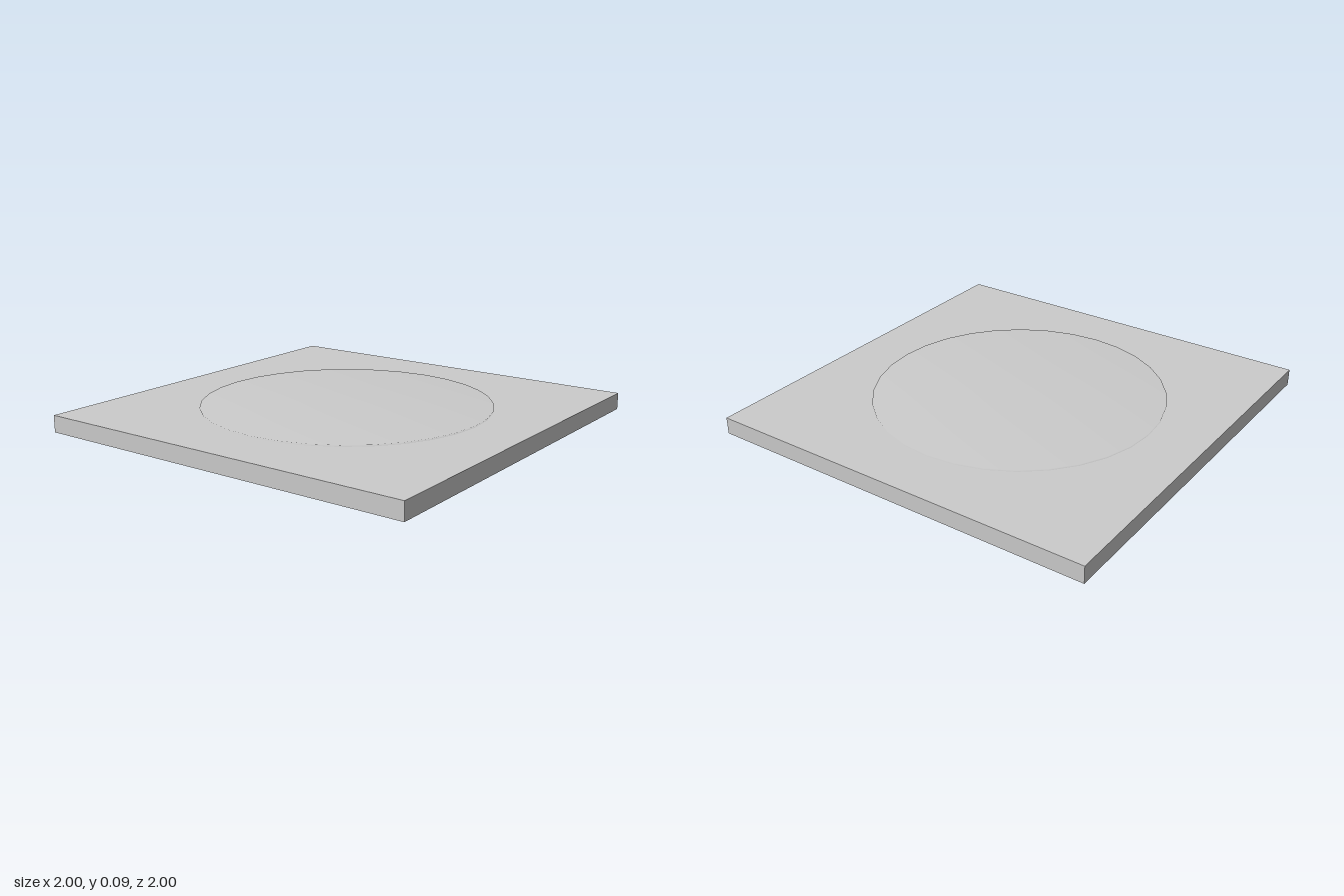
import * as THREE from 'three';

const SIZE = 2, PLATE_TOP = 0.085;
const DISC_RADIUS = 0.725, DISC_TOP = 0.093, RIM_BOTTOM = 0.05;

export function createModel() {
  const model = new THREE.Group();
  const material = new THREE.MeshStandardMaterial({ color: 0xcccccc, side: THREE.DoubleSide });

  // Square tray-like plate: thin walls and a top, open underneath
  const plateGeometry = new THREE.BoxGeometry(SIZE, PLATE_TOP, SIZE);
  const index = Array.from(plateGeometry.index.array);
  index.splice(18, 6); // drop the bottom face
  plateGeometry.setIndex(index);
  plateGeometry.clearGroups();
  plateGeometry.translate(0, PLATE_TOP / 2, 0);
  const plate = new THREE.Mesh(plateGeometry, material);
  plate.name = 'basePlate';
  model.add(plate);

  // Round cap, softly shaded, whose rim passes down through the plate
  const profile = [
    new THREE.Vector2(DISC_RADIUS, RIM_BOTTOM),
    new THREE.Vector2(DISC_RADIUS, DISC_TOP),
    new THREE.Vector2(0, DISC_TOP),
  ];
  const disc = new THREE.Mesh(new THREE.LatheGeometry(profile, 32), material);
  disc.name = 'roundCap';
  model.add(disc);

  return model;
}
